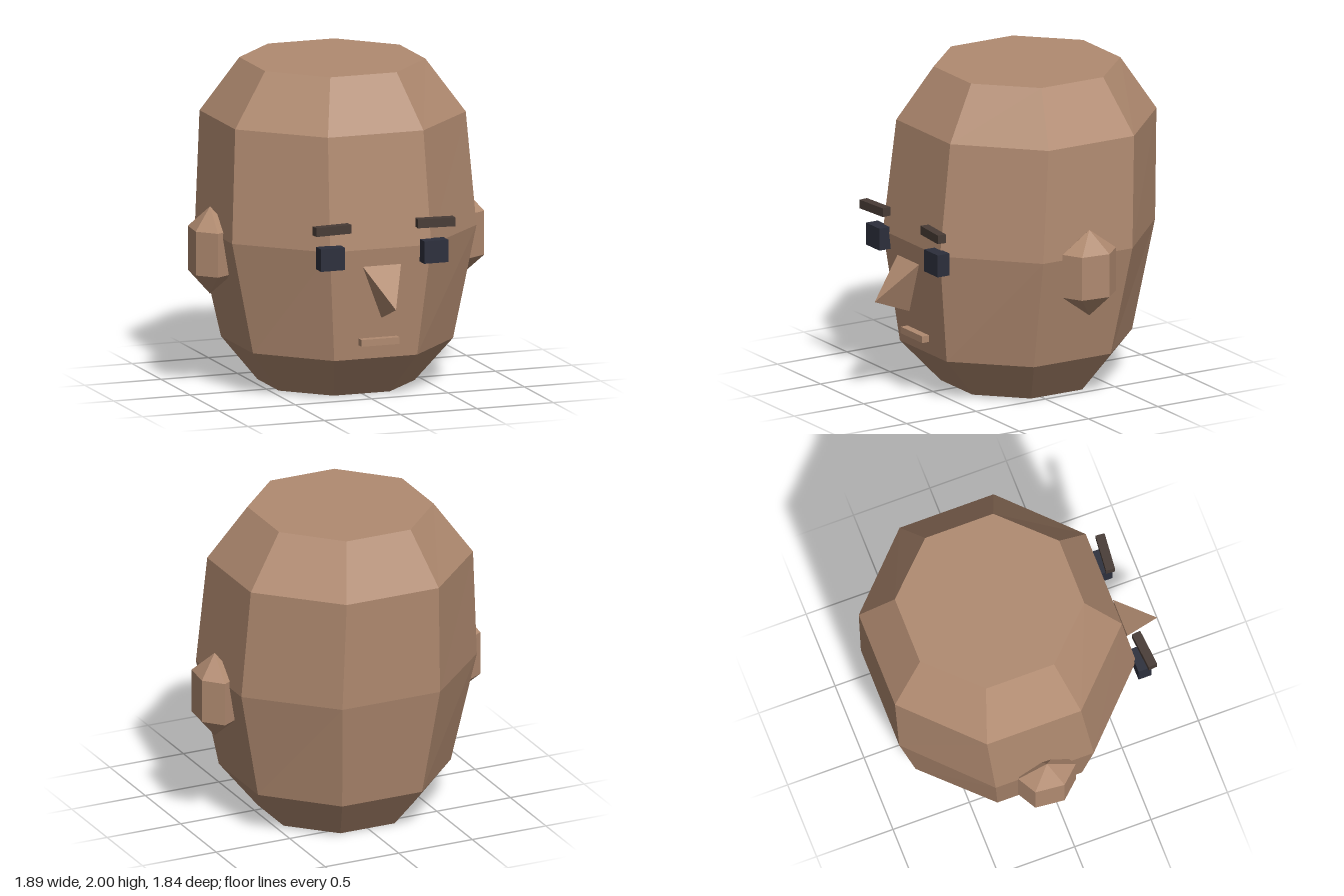
import * as THREE from 'three';

// Skin over stacked loops of points, closed by a fan to a point at each end
function loft(rings, start, end) {
  const pos = [];
  const tri = (...pts) => pts.forEach((p) => pos.push(...p));
  const n = rings[0].length;
  const last = rings.length - 1;
  for (let i = 0; i < n; i++) {
    const j = (i + 1) % n;
    tri(start, rings[0][j], rings[0][i]);
    tri(end, rings[last][i], rings[last][j]);
    for (let r = 0; r < last; r++) {
      const a = rings[r], b = rings[r + 1];
      tri(a[i], a[j], b[j]);
      tri(a[i], b[j], b[i]);
    }
  }
  const geo = new THREE.BufferGeometry();
  geo.setAttribute('position', new THREE.Float32BufferAttribute(pos, 3));
  geo.computeVertexNormals();
  return geo;
}

function material(name, color) {
  const m = new THREE.MeshStandardMaterial({ color });
  m.name = name;
  return m;
}

export function createModel() {
  const group = new THREE.Group();
  const skin = material('skin', 0xb08a70);
  const brow = material('brow', 0x483c36);
  const eye = material('eye', 0x2c2f3c);

  const add = (name, geo, mat, x = 0, y = 0, z = 0) => {
    const mesh = new THREE.Mesh(geo, mat);
    mesh.name = name;
    mesh.position.set(x, y, z);
    group.add(mesh);
    return mesh;
  };

  // Head: octagonal loops [y, half width, half depth, centre z]
  const levels = [
    [0, 0.445, 0.445, -0.115],
    [0.27, 0.655, 0.668, -0.098],
    [0.97, 0.8, 0.775, -0.12],
    [1.67, 0.755, 0.743, -0.173],
    [2, 0.525, 0.538, -0.178],
  ];
  const k = 1 / Math.cos(Math.PI / 8);
  const rings = levels.map(([y, w, d, cz]) =>
    Array.from({ length: 8 }, (_, i) => {
      const a = ((i + 0.5) * Math.PI) / 4;
      return [Math.sin(a) * w * k, y, cz + Math.cos(a) * d * k];
    }));
  add('head', loft(rings, [0, 0, -0.115], [0, 2, -0.178]), skin);

  // Ear: six-sided bead with pointed ends, turned slightly
  const half = [[-0.017, 0.182], [0.102, 0.115], [0.12, -0.07]];
  const outline = [...half, ...half.map(([x, z]) => [-x, -z])];
  const earRings = [-0.137, 0.137].map((y) => outline.map(([x, z]) => [x, y, z]));
  const earGeo = loft(earRings, [0, -0.273, 0], [0, 0.273, 0]);

  const eyeGeo = new THREE.BoxGeometry(0.157, 0.14, 0.085);
  const browGeo = new THREE.BoxGeometry(0.238, 0.055, 0.057);

  for (const [side, s] of [['left', 1], ['right', -1]]) {
    add(side + 'Ear', earGeo, skin, s * 0.825, 0.872, -0.115);
    add(side + 'Eye', eyeGeo, eye, s * 0.338, 0.939, 0.682);
    add(side + 'Brow', browGeo, brow, s * 0.338, 1.122, 0.708).rotation.y = -s * 0.09;
  }

  // Nose: pyramid on a triangular base
  const noseBase = [[-0.125, 0.87, 0.678], [0, 0.54, 0.67], [0.125, 0.87, 0.678]];
  add('nose', loft([noseBase], [0, 0.76, 0.675], [0, 0.637, 0.92]), skin);

  add('mouth', new THREE.BoxGeometry(0.25, 0.042, 0.05), skin, 0, 0.386, 0.63);

  return group;
}
